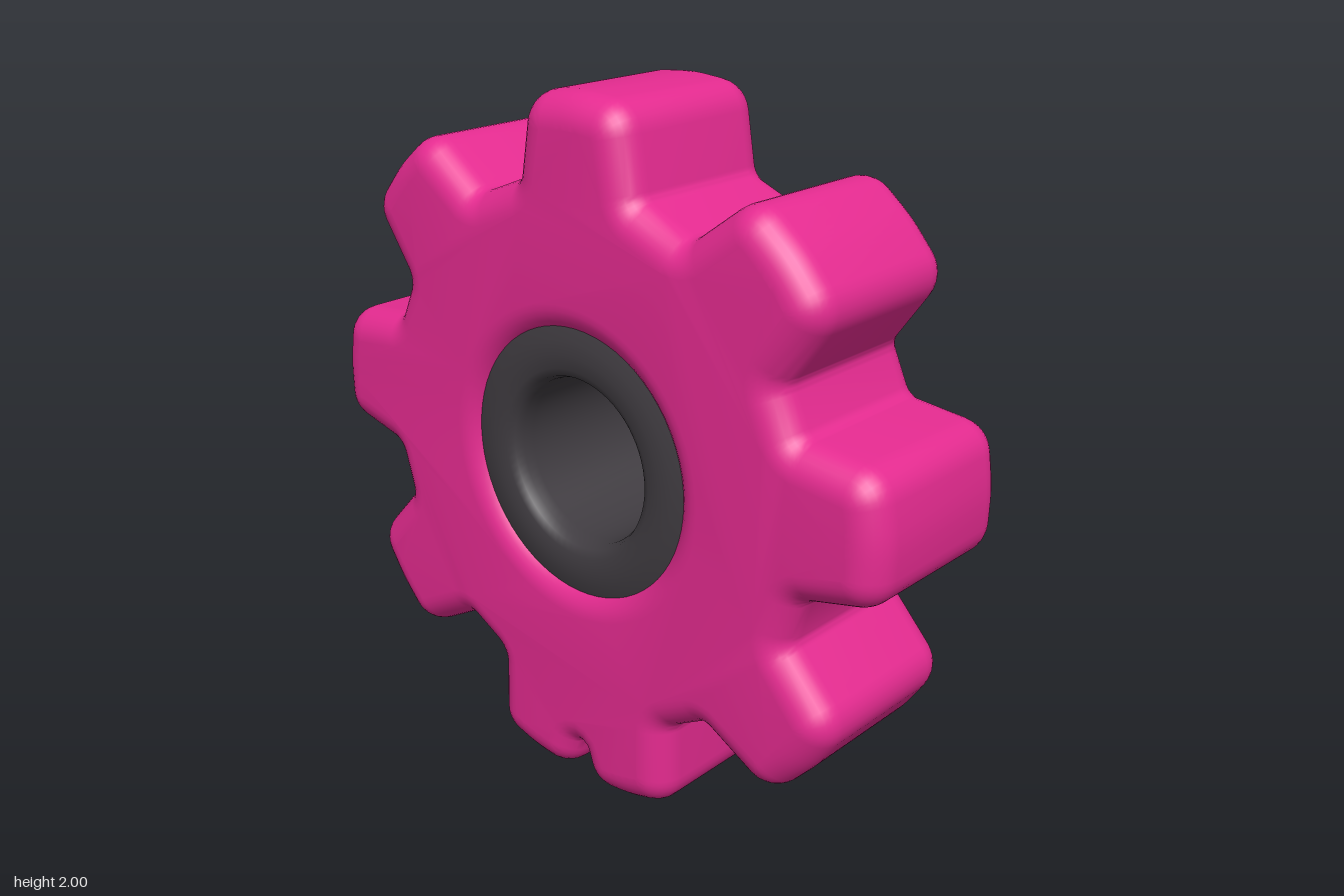
import * as THREE from 'three';
import { toCreasedNormals } from 'three/addons/utils/BufferGeometryUtils.js';

const HALF_DEPTH = 0.28, BEVEL = 0.09, CENTRE_Y = 1;

// Round each corner of a closed outline with a true arc
function filletOutline(corners, steps = 6) {
  const out = [];
  const n = corners.length;
  corners.forEach(({ p, r }, i) => {
    const a = corners[(i + n - 1) % n].p.clone().sub(p).normalize();
    const b = corners[(i + 1) % n].p.clone().sub(p).normalize();
    const half = Math.acos(THREE.MathUtils.clamp(a.dot(b), -1, 1)) / 2;
    const centre = a.clone().add(b).normalize().multiplyScalar(r / Math.sin(half)).add(p);
    const start = p.clone().addScaledVector(a, r / Math.tan(half)).sub(centre);
    const end = p.clone().addScaledVector(b, r / Math.tan(half)).sub(centre);
    const turn = Math.atan2(start.cross(end), start.dot(end));
    for (let k = 0; k <= steps; k++) {
      out.push(start.clone().rotateAround(new THREE.Vector2(), turn * k / steps).add(centre));
    }
  });
  return out;
}

// Gear outline: five teeth on one side, mirrored to the other
function gearOutline() {
  // angle in degrees, tip radius, half width at the tip
  const teeth = [[90, 1, 0.17], [45.5, 1.01, 0.172], [4, 1, 0.17], [-38, 1.015, 0.172], [-79, 1.012, 0.15]];
  const half = [];
  teeth.forEach(([deg, tip, width], i) => {
    const t = THREE.MathUtils.degToRad(deg);
    const corners = [ // radial distance, sideways offset, fillet radius
      [0.75, width + 0.04, 0.04], [tip - 0.015, width, 0.095], [tip, 0, 0.5],
      [tip - 0.015, -width, 0.095], [0.75, -width - 0.04, 0.04],
    ];
    corners.forEach(([d, w, r], j) => {
      if (i === 0 && j < 3) return;  // the top tooth straddles the mirror line
      if (i === 4 && j === 4) return; // the lowest teeth meet in a notch
      const p = new THREE.Vector2(d * Math.cos(t) - w * Math.sin(t), d * Math.sin(t) + w * Math.cos(t));
      half.push({ p, r });
    });
  });
  const mirrored = half.map(({ p, r }) => ({ p: new THREE.Vector2(-p.x, p.y), r })).reverse();
  return filletOutline([
    { p: new THREE.Vector2(0, 1), r: 0.5 }, ...half,
    { p: new THREE.Vector2(0, -0.87), r: 0.01 }, ...mirrored,
  ]);
}

export function createModel() {
  const pink = new THREE.MeshStandardMaterial({ color: 0xe52b90 });
  pink.name = 'pink';
  const charcoal = new THREE.MeshStandardMaterial({ color: 0x403c41 });
  charcoal.name = 'charcoal';

  const model = new THREE.Group();
  model.name = 'gear';

  // Toothed body with rounded edges, dipping towards the bore
  const shape = new THREE.Shape(gearOutline());
  const hole = new THREE.Path();
  hole.absarc(0, 0, 0.36, 0, Math.PI * 2, false);
  shape.holes.push(hole);
  let bodyGeometry = new THREE.ExtrudeGeometry(shape, {
    depth: 2 * (HALF_DEPTH - BEVEL), curveSegments: 32,
    bevelEnabled: true, bevelSize: BEVEL, bevelThickness: BEVEL, bevelOffset: -BEVEL, bevelSegments: 8,
  });
  bodyGeometry.translate(0, CENTRE_Y, -(HALF_DEPTH - BEVEL));
  bodyGeometry = toCreasedNormals(bodyGeometry, 0.7);
  const body = new THREE.Mesh(bodyGeometry, pink);
  body.name = 'toothedBody';
  model.add(body);

  // Bore lining with a rounded lip at both ends
  const lip = [[0.39, 0.25], [0.35, 0.262], [0.31, 0.265], [0.27, 0.262], [0.247, 0.25], [0.237, 0.225], [0.235, 0.19]];
  const profile = [...lip, ...lip.map(([r, z]) => [r, -z]).reverse()]
    .map(([r, z]) => new THREE.Vector2(r, z));
  const boreGeometry = new THREE.LatheGeometry(profile, 64);
  boreGeometry.rotateX(Math.PI / 2);
  boreGeometry.translate(0, CENTRE_Y, 0);
  const bore = new THREE.Mesh(boreGeometry, charcoal);
  bore.name = 'boreLining';
  model.add(bore);

  return model;
}
